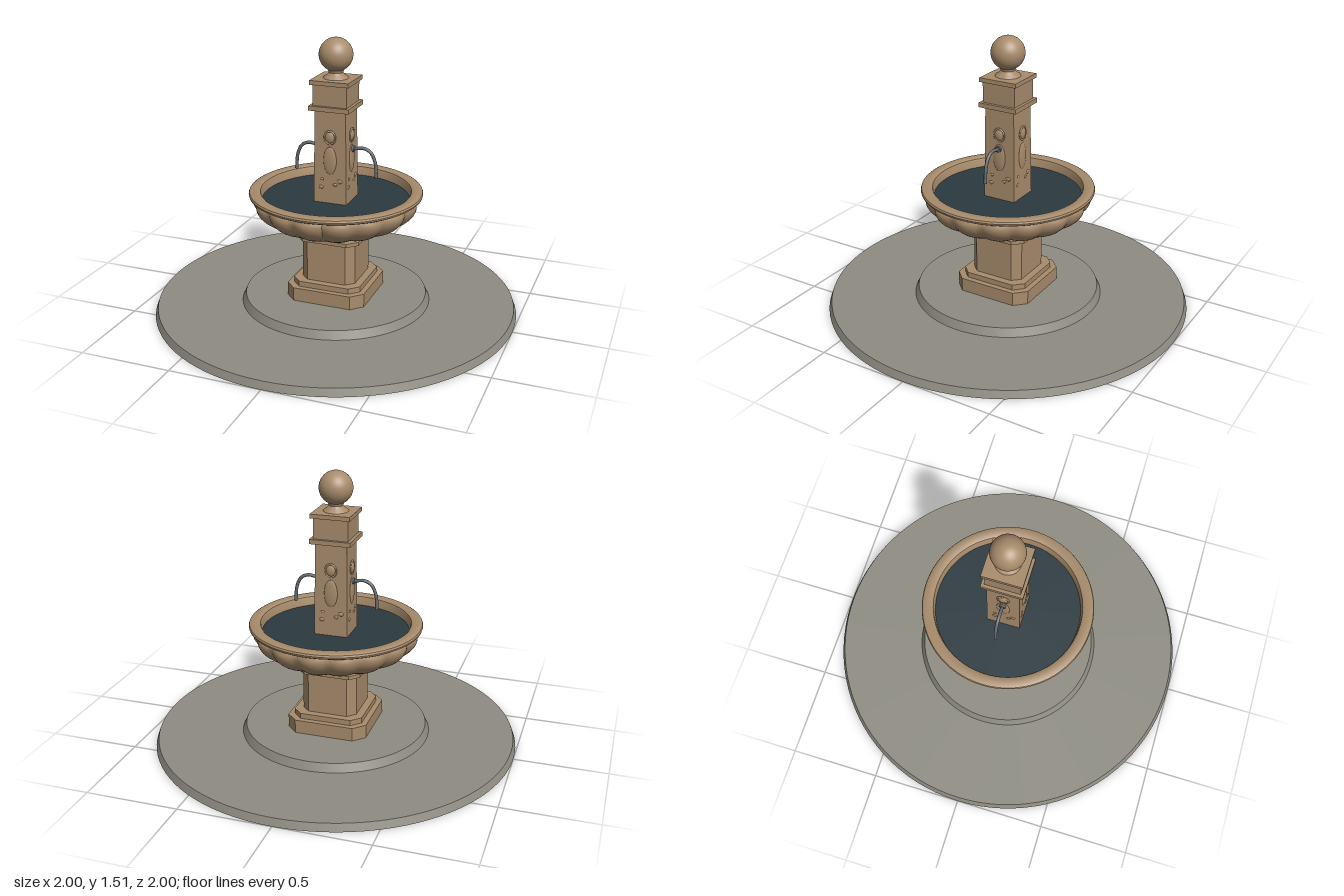
import * as THREE from 'three';
import { toCreasedNormals } from 'three/addons/utils/BufferGeometryUtils.js';

const mat = (color) => new THREE.MeshStandardMaterial({ color });
const stone = mat(0xa88c6c);
const paving = mat(0x8e8c82);
const waterMat = mat(0x2b3a40);
const metal = mat(0x666b70);

function add(parent, name, geometry, material) {
  const mesh = new THREE.Mesh(geometry, material);
  mesh.name = name;
  parent.add(mesh);
  return mesh;
}

// Turned shape from [radius, height] pairs, with sharp corners kept
function turned(points, segments = 64) {
  const g = new THREE.LatheGeometry(points.map(([r, y]) => new THREE.Vector2(r, y)), segments);
  return toCreasedNormals(g, 0.6);
}

// Square block with cut corners
function cutBlock(half, cut, y0, y1) {
  const a = half, b = half - cut;
  const shape = new THREE.Shape(
    [[a, -b], [a, b], [b, a], [-b, a], [-a, b], [-a, -b], [-b, -a], [b, -a]]
      .map(([x, y]) => new THREE.Vector2(x, y)));
  const g = new THREE.ExtrudeGeometry(shape, { depth: y1 - y0, bevelEnabled: false });
  return g.rotateX(-Math.PI / 2).translate(0, y0, 0);
}

// Square shaft, optionally tapered
function squareShaft(halfTop, halfBottom, y0, y1) {
  const g = new THREE.CylinderGeometry(halfTop * Math.SQRT2, halfBottom * Math.SQRT2, y1 - y0, 4);
  return toCreasedNormals(g.rotateY(Math.PI / 4).translate(0, (y0 + y1) / 2, 0), 0.5);
}

// Bowl underside swelling into rounded lobes
function lobedBowl() {
  const lobes = 16;
  const curve = new THREE.CatmullRomCurve3(
    [[0.13, 0.455], [0.19, 0.464], [0.29, 0.487], [0.38, 0.525], [0.435, 0.575], [0.452, 0.62], [0.44, 0.655]]
      .map(([r, y]) => new THREE.Vector3(r, y, 0)));
  const profile = curve.getPoints(20).map((p) => new THREE.Vector2(p.x, p.y));
  const g = new THREE.LatheGeometry(profile, lobes * 8, Math.PI / lobes);
  const pos = g.attributes.position;
  for (let i = 0; i < pos.count; i++) {
    const x = pos.getX(i), z = pos.getZ(i);
    const groove = 1 - Math.abs(Math.cos(Math.atan2(x, z) * lobes / 2));
    const fade = THREE.MathUtils.smoothstep(Math.hypot(x, z), 0.13, 0.3);
    const s = 1 - 0.055 * groove * fade;
    pos.setX(i, x * s);
    pos.setZ(i, z * s);
  }
  g.computeVertexNormals();
  return g;
}

// Carved relief for one face of the column, facing +z
function relief() {
  const group = new THREE.Group();
  group.name = 'carvedRelief';
  const boss = (name, x, y, z, w, h, d) => {
    const m = add(group, name, new THREE.SphereGeometry(1, 24, 16), stone);
    m.position.set(x, y, z);
    m.scale.set(w, h, d);
  };
  boss('medallion', 0, 0.993, 0.088, 0.028, 0.032, 0.013);
  const ring = add(group, 'medallionRing', new THREE.TorusGeometry(0.03, 0.005, 8, 32), stone);
  ring.position.set(0, 0.993, 0.09);
  ring.scale.y = 1.15;
  boss('ovalCartouche', 0, 0.865, 0.089, 0.037, 0.076, 0.01);
  // Small leaves near the foot
  for (const [x, y, r] of [[0.055, 0.755, 0.016], [0.03, 0.735, 0.012], [-0.045, 0.76, 0.01], [-0.05, 0.715, 0.014]])
    boss('leaf', x, y, 0.09, r, r * 0.7, 0.006);
  return group;
}

// Curved water pipe leaving the column towards +x
function spout() {
  const group = new THREE.Group();
  group.name = 'spout';
  const path = new THREE.CatmullRomCurve3(
    [[0.08, 0.915], [0.11, 0.919], [0.155, 0.925], [0.195, 0.907], [0.221, 0.855], [0.229, 0.77]]
      .map(([x, y]) => new THREE.Vector3(x, y, 0)));
  add(group, 'pipe', new THREE.TubeGeometry(path, 32, 0.009, 12), metal);
  add(group, 'pipeEnd', new THREE.CircleGeometry(0.009, 12).rotateX(Math.PI / 2).translate(0.229, 0.77, 0), metal);
  const collar = new THREE.CylinderGeometry(0.017, 0.017, 0.014, 20);
  add(group, 'collar', collar.rotateZ(Math.PI / 2).translate(0.098, 0.917, 0), metal);
  return group;
}

export function createModel() {
  const model = new THREE.Group();
  model.name = 'fountain';

  // Round paving steps
  add(model, 'lowerStep', turned([[0, 0], [1, 0], [0.985, 0.04], [0, 0.04]], 96), paving);
  add(model, 'upperStep', turned([[0, 0.03], [0.52, 0.04], [0.5, 0.085], [0, 0.085]], 96), paving);

  // Pedestal
  const pedestal = new THREE.Group();
  pedestal.name = 'pedestal';
  model.add(pedestal);
  add(pedestal, 'plinth', cutBlock(0.222, 0.06, 0.085, 0.16), stone);
  add(pedestal, 'plinthStep', cutBlock(0.192, 0.05, 0.16, 0.19), stone);
  add(pedestal, 'pedestalShaft', cutBlock(0.152, 0.043, 0.19, 0.42), stone);
  add(pedestal, 'pedestalCap', cutBlock(0.175, 0.05, 0.42, 0.44), stone);
  add(pedestal, 'bowlCollar', turned(
    [[0, 0.435], [0.145, 0.435], [0.152, 0.443], [0.152, 0.455], [0.14, 0.465], [0, 0.465]]), stone);

  // Bowl with rounded rim and water
  add(model, 'bowl', lobedBowl(), stone);
  add(model, 'bowlRim', turned([[0.43, 0.648], [0.458, 0.65], [0.468, 0.656], [0.471, 0.666], [0.467, 0.676],
    [0.457, 0.682], [0.417, 0.682], [0.408, 0.676], [0.404, 0.665], [0.397, 0.61]], 96), stone);
  add(model, 'water', new THREE.CircleGeometry(0.4, 96).rotateX(-Math.PI / 2).translate(0, 0.628, 0), waterMat);

  // Column and its mouldings
  const column = new THREE.Group();
  column.name = 'column';
  model.add(column);
  add(column, 'columnShaft', squareShaft(0.086, 0.093, 0.6, 1.135), stone);
  add(column, 'columnBand', squareShaft(0.112, 0.112, 1.135, 1.16), stone);
  add(column, 'columnHead', squareShaft(0.095, 0.095, 1.16, 1.272), stone);
  add(column, 'columnCap', squareShaft(0.108, 0.108, 1.272, 1.295), stone);
  for (let i = 0; i < 4; i++) {
    const r = relief();
    r.rotation.y = i * Math.PI / 2;
    column.add(r);
  }

  // Ball finial
  add(model, 'finialNeck', turned(
    [[0, 1.295], [0.068, 1.295], [0.062, 1.303], [0.045, 1.313], [0.038, 1.325], [0.044, 1.345], [0, 1.345]], 40), stone);
  add(model, 'finialBall', new THREE.SphereGeometry(0.09, 48, 32).translate(0, 1.418, 0), stone);

  // Spouts on the left and right faces
  for (const turn of [0, Math.PI]) {
    const s = spout();
    s.rotation.y = turn;
    model.add(s);
  }
  return model;
}
